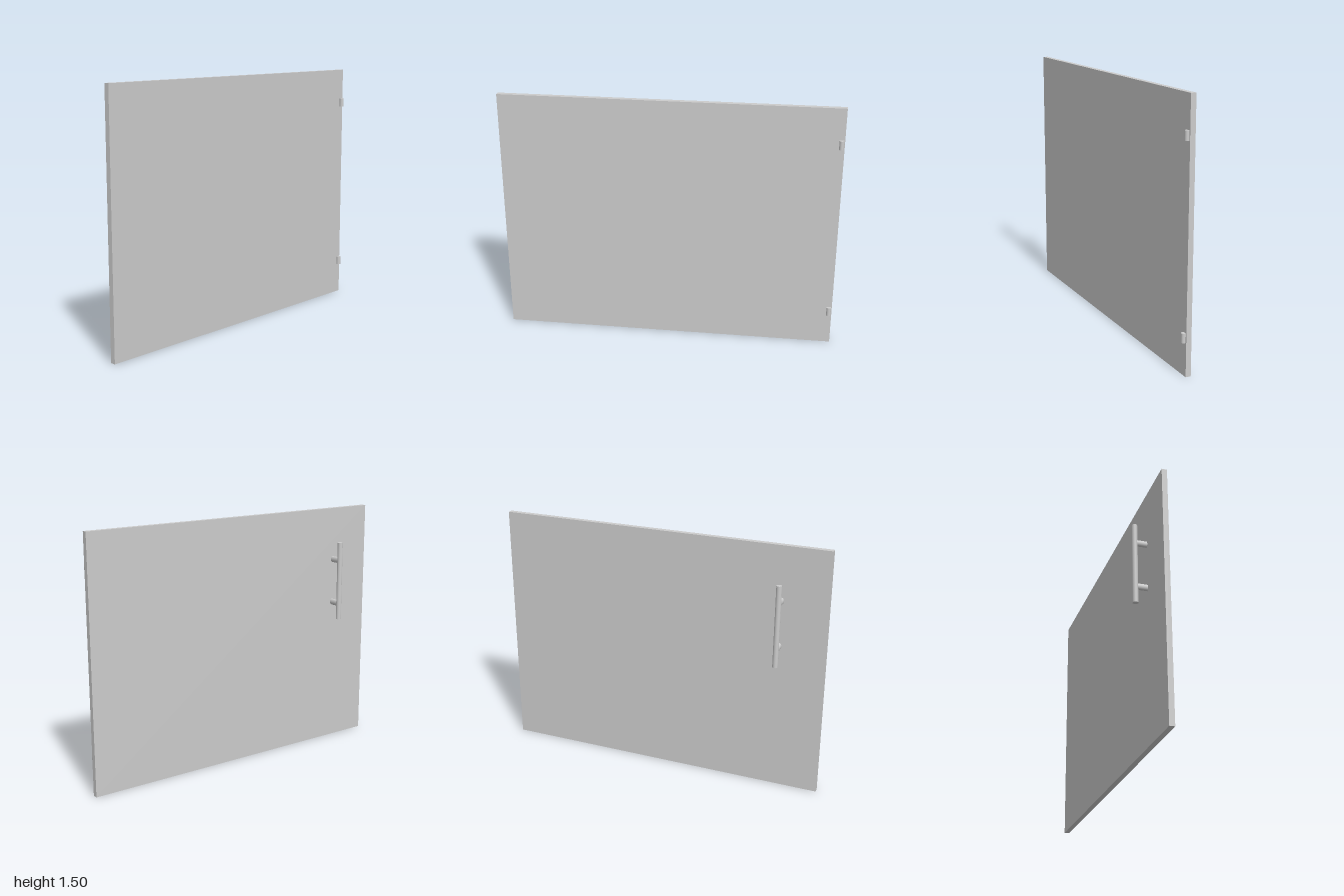
import * as THREE from 'three';

export function createModel() {
  const group = new THREE.Group();
  const material = new THREE.MeshStandardMaterial({ color: 0xcccccc });

  const add = (name, geometry, x, y, z, parent = group) => {
    const mesh = new THREE.Mesh(geometry, material);
    mesh.name = name;
    mesh.position.set(x, y, z);
    parent.add(mesh);
    return mesh;
  };

  // Door leaf
  add('doorPanel', new THREE.BoxGeometry(0.031, 1.5, 2), 0.031, 0.75, 0);

  // Pull handle: round upright bar on two flattened posts
  const handle = new THREE.Group();
  handle.name = 'handle';
  group.add(handle);
  const handleZ = 0.73;
  add('handleBar', new THREE.CylinderGeometry(0.016, 0.016, 0.49, 24), -0.054, 1.046, handleZ, handle);
  const postGeometry = new THREE.CylinderGeometry(0.019, 0.019, 0.073, 24);
  postGeometry.rotateZ(Math.PI / 2);
  postGeometry.scale(1, 1, 0.65);
  for (const y of [0.903, 1.178]) add('handlePost', postGeometry, -0.0175, y, handleZ, handle);

  // Hinge knuckles on the opposite face
  const hingeGeometry = new THREE.CylinderGeometry(0.0135, 0.0135, 0.053, 24);
  for (const y of [0.217, 1.287]) add('hinge', hingeGeometry, 0.0535, y, -0.982);

  return group;
}
